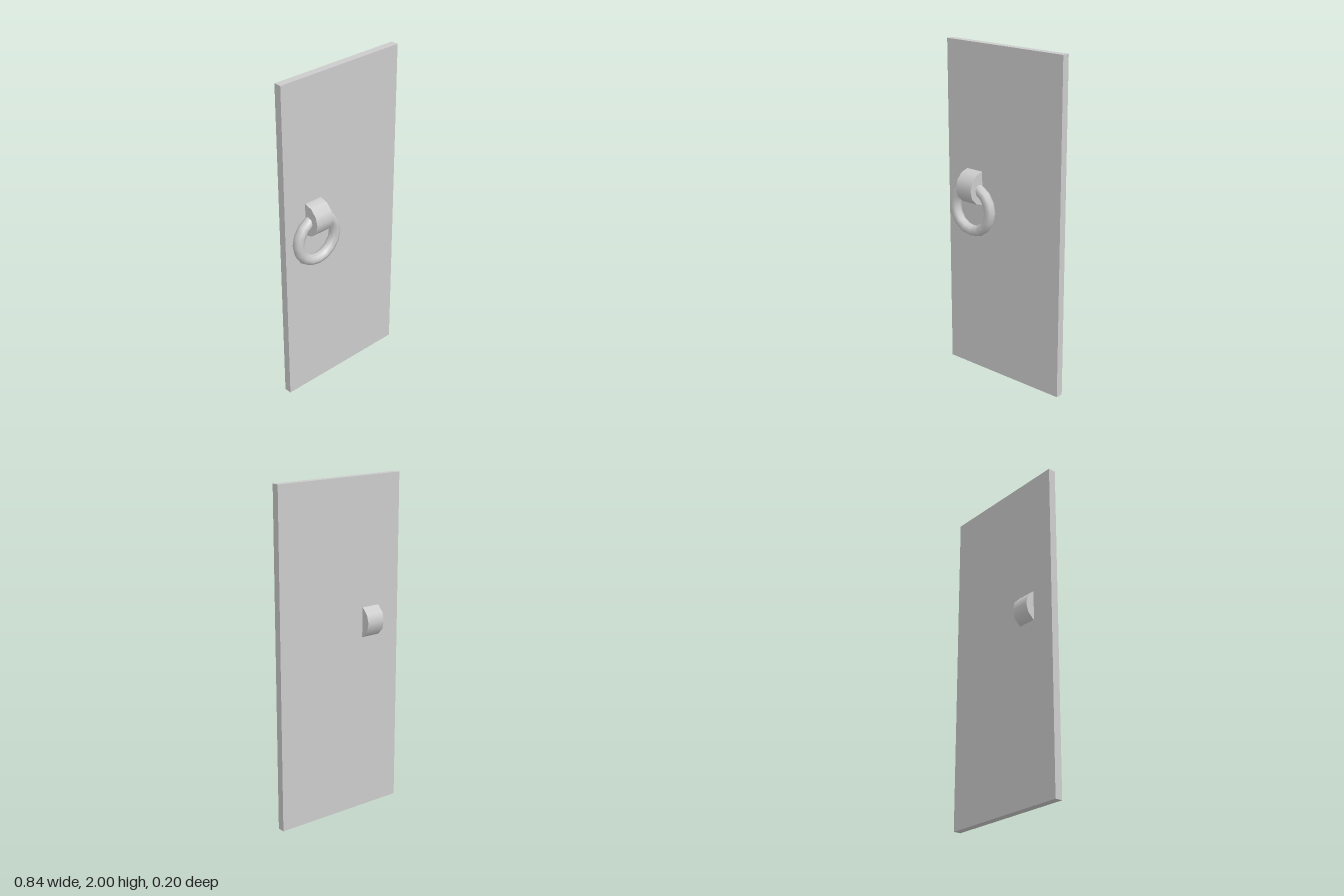
import * as THREE from 'three';

export function createModel() {
  const model = new THREE.Group();
  const material = new THREE.MeshStandardMaterial({ color: 0xcccccc });

  const add = (name, geometry, x, y, z) => {
    const mesh = new THREE.Mesh(geometry, material);
    mesh.name = name;
    mesh.position.set(x, y, z);
    model.add(mesh);
    return mesh;
  };

  // Flat door slab, its front face on z = 0
  add('doorPanel', new THREE.BoxGeometry(0.842, 2, 0.046), 0, 1, -0.023);

  // Short sideways barrel passing through the door, holding the ring
  const barrel = new THREE.CylinderGeometry(0.101, 0.101, 0.116, 12).rotateZ(Math.PI / 2);
  add('handleMount', barrel, -0.215, 1.155, -0.001);

  // Pull ring hanging from the mount
  add('handleRing', new THREE.TorusGeometry(0.136, 0.033, 8, 16), -0.213, 1.025, 0.025);

  return model;
}
